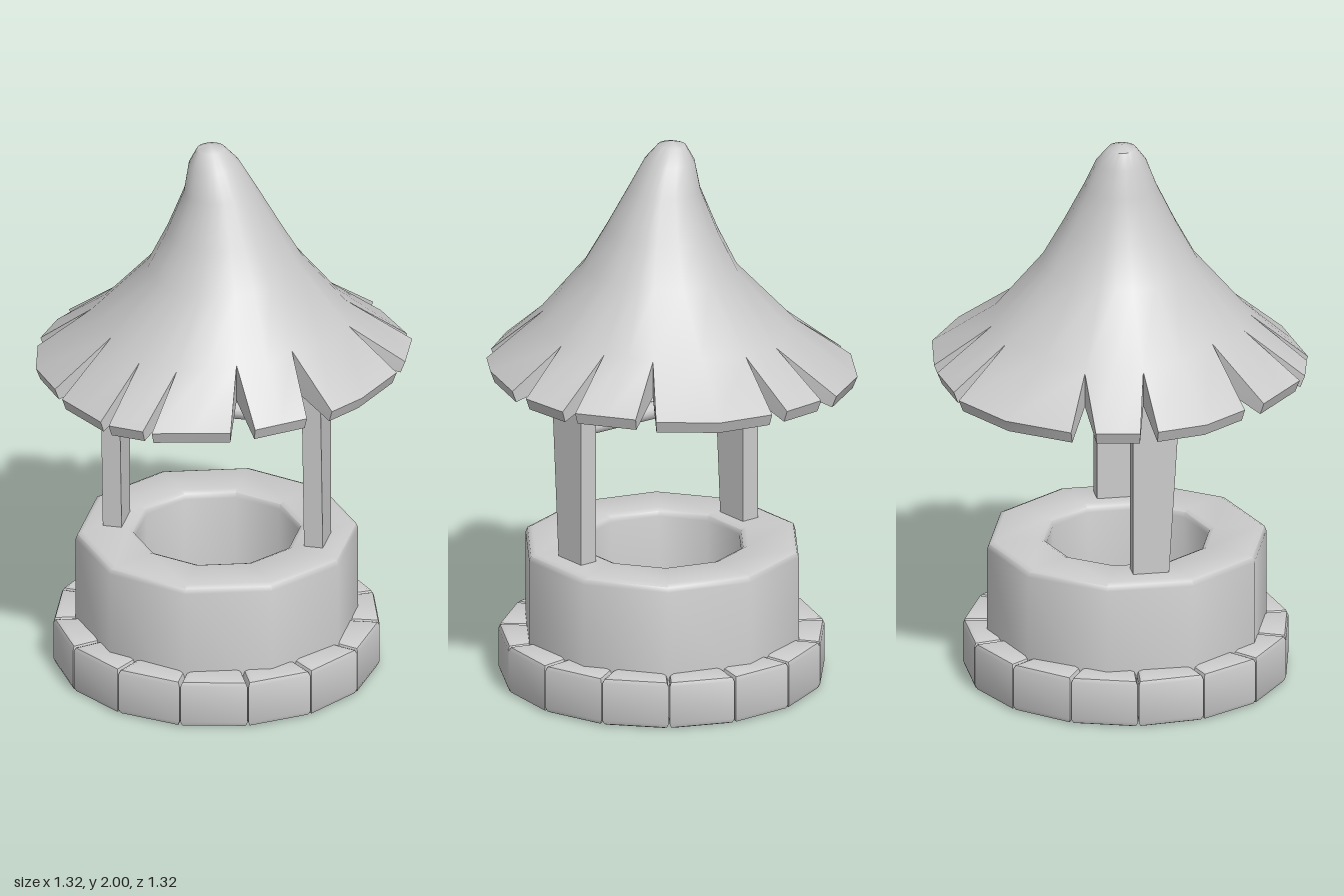
import * as THREE from 'three';
import { toCreasedNormals } from 'three/addons/utils/BufferGeometryUtils.js';

const mat = new THREE.MeshStandardMaterial({ color: 0xcccccc });
const CX = -0.006, CZ = 0.022; // centre of the stone ring

function add(parent, name, geometry) {
  const mesh = new THREE.Mesh(geometry, mat);
  mesh.name = name;
  parent.add(mesh);
  return mesh;
}

// Ten-sided well wall with a softened top edge, open through the middle
function wallGeometry() {
  const profile = [
    [0.29, 0.015], [0.5, 0.015], [0.5, 0.485], [0.493, 0.503], [0.475, 0.511],
    [0.315, 0.511], [0.297, 0.503], [0.29, 0.485], [0.29, 0.015],
  ].map(([r, y]) => new THREE.Vector2(r, y));
  return toCreasedNormals(new THREE.LatheGeometry(profile, 10), 0.85);
}

// Wedge-shaped base stone with rounded edges
function stoneGeometry(half, inner, outer, height) {
  const b = 0.02;
  const at = (r, a) => new THREE.Vector2(r * Math.sin(a), r * Math.cos(a));
  const shape = new THREE.Shape([at(inner, half), at(outer, half), at(outer, -half), at(inner, -half)]);
  const geo = new THREE.ExtrudeGeometry(shape, {
    depth: height - 2 * b, bevelThickness: b, bevelSize: b, bevelOffset: -b, bevelSegments: 2,
  });
  geo.rotateX(-Math.PI / 2).translate(0, b, 0);
  return toCreasedNormals(geo, 0.7);
}

// Post that gets deeper towards the top, on its front side only
function postGeometry() {
  const geo = new THREE.BoxGeometry(0.068, 0.78, 0.125).translate(0, 0.84, 0.0375);
  const p = geo.attributes.position;
  for (let i = 0; i < p.count; i++) {
    if (p.getY(i) > 0.84 && p.getZ(i) > 0) p.setZ(i, 0.147);
  }
  geo.computeVertexNormals();
  return geo;
}

// Thatched roof: a leaning bell-shaped shell whose brim is cut into flaps
function roofGeometry() {
  // radius, height and sideways shift of each ring, outside and underside
  const outer = [
    [0, 2.0, -0.035], [0.05, 1.985, -0.033], [0.09, 1.93, -0.022], [0.128, 1.83, 0],
    [0.2, 1.68, 0.012], [0.275, 1.54, 0.018], [0.45, 1.335, 0],
  ];
  const under = [
    [0, 1.95, -0.03], [0.03, 1.93, -0.03], [0.06, 1.88, -0.02], [0.1, 1.78, 0],
    [0.165, 1.62, 0.012], [0.245, 1.44, 0.018], [0.45, 1.2, 0],
  ];
  // each cut, as x and z of its inner end, then of its two corners on the brim
  const cuts = [
    [0.465, 0, 0.66, -0.045, 0.65, 0.045], [0.325, 0.28, 0.495, 0.387, 0.42, 0.455],
    [0.155, 0.41, 0.26, 0.572, 0.18, 0.61], [-0.05, 0.455, -0.095, 0.655, -0.13, 0.645],
    [-0.195, 0.41, -0.26, 0.615, -0.295, 0.59], [-0.33, 0.27, -0.472, 0.43, -0.515, 0.355],
    [-0.465, 0, -0.655, 0.02, -0.66, -0.045], [-0.43, -0.203, -0.635, -0.2, -0.612, -0.285],
    [-0.155, -0.435, -0.275, -0.627, -0.203, -0.632], [0, -0.46, -0.027, -0.66, 0.04, -0.66],
    [0.315, -0.33, 0.437, -0.502, 0.48, -0.44], [0.413, -0.18, 0.615, -0.267, 0.642, -0.23],
  ];
  // extra brim corner on the wide flaps, by number of the cut before it
  const corners = { 0: [0.575, 0.265], 5: [-0.62, 0.2], 7: [-0.475, -0.495], 9: [0.25, -0.63] };
  const last = outer.length;
  const pos = [];
  const quad = (a, b, c, d) => pos.push(...a, ...b, ...c, ...a, ...c, ...d);

  // one column of points from the tip down to the brim
  const column = (angle, radius, [x, z], inside) => {
    const pts = (inside ? under : outer).map(([r, y, shift], i) => {
      const s = i === last - 1 ? radius : r;
      const drop = (s - r) * (inside ? 0.4 : 0.76);
      return [s * Math.cos(angle) + shift, y - drop + 0.04 * s * Math.cos(angle), s * Math.sin(angle)];
    });
    const k = inside ? 0.975 : 1;
    pts.push([x * k, (inside ? 1.132 : 1.175) + 0.04 * x, z * k]);
    return pts;
  };

  cuts.forEach((cut, k) => {
    const next = cuts[(k + 1) % cuts.length];
    const a0 = Math.atan2(cut[1], cut[0]);
    let a1 = Math.atan2(next[1], next[0]);
    if (a1 < a0) a1 += 2 * Math.PI;
    const start = [cut[4], cut[5]], end = [next[2], next[3]];
    const corner = corners[k];
    const middle = corner || start.map((v, n) => (v + end[n]) / 2);
    const midAngle = corner ? Math.atan2(corner[1], corner[0]) : (a0 + a1) / 2;
    const [out, inn] = [false, true].map((inside) => [
      column(a0, Math.hypot(cut[0], cut[1]), start, inside),
      column(midAngle, 0.45, middle, inside),
      column(a1, Math.hypot(next[0], next[1]), end, inside),
    ]);
    for (let c = 0; c < 2; c++) {
      for (let i = 0; i < last; i++) {
        quad(out[c][i], out[c + 1][i], out[c + 1][i + 1], out[c][i + 1]);
        quad(inn[c][i + 1], inn[c + 1][i + 1], inn[c + 1][i], inn[c][i]);
      }
      quad(out[c][last], out[c + 1][last], inn[c + 1][last], inn[c][last]);
    }
    // side faces of the cuts
    const t = last - 1;
    quad(out[0][t], out[0][last], inn[0][last], inn[0][t]);
    quad(inn[2][t], inn[2][last], out[2][last], out[2][t]);
  });

  const geo = new THREE.BufferGeometry();
  geo.setAttribute('position', new THREE.Float32BufferAttribute(pos, 3));
  return toCreasedNormals(geo, 0.75);
}

export function createModel() {
  const model = new THREE.Group();
  model.name = 'well';

  add(model, 'wall', wallGeometry()).position.set(CX, 0, CZ);

  // Ring of base stones
  const base = new THREE.Group();
  base.name = 'baseStones';
  base.position.set(CX, 0, CZ);
  const count = 15, step = (2 * Math.PI) / count;
  const stone = stoneGeometry(step / 2 - 0.004, 0.41, 0.578, 0.18);
  for (let i = 0; i < count; i++) add(base, 'baseStone', stone).rotation.y = i * step;
  model.add(base);

  // Posts and the tapered crossbar between them
  const post = postGeometry();
  add(model, 'rightPost', post).position.x = -0.366;
  add(model, 'leftPost', post).position.x = 0.362;
  const bar = add(model, 'crossbar', new THREE.CylinderGeometry(0.038, 0.025, 0.7, 12));
  bar.rotation.z = Math.PI / 2;
  bar.position.set(0, 0.988, 0.045);

  add(model, 'roof', roofGeometry());
  return model;
}
